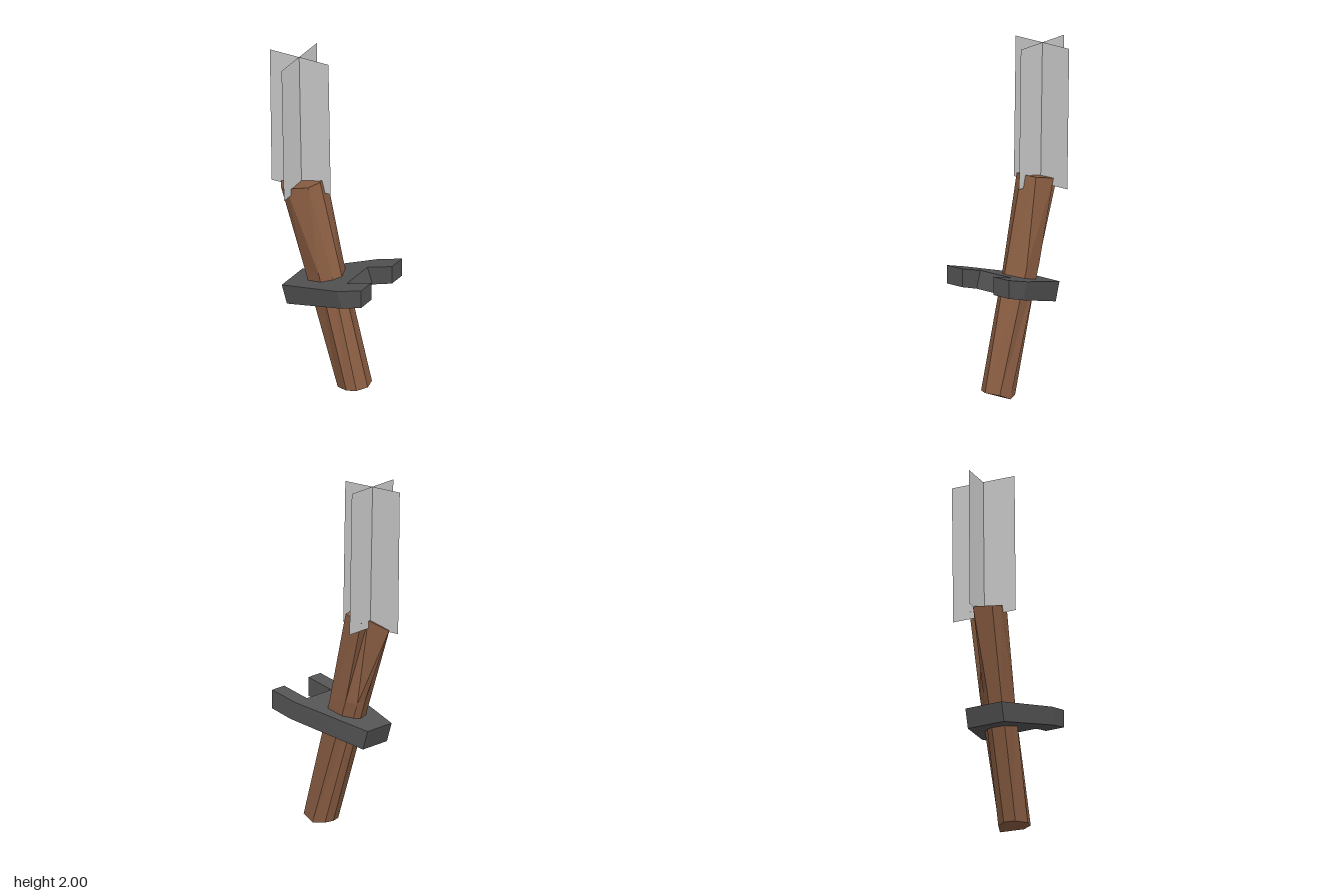
import * as THREE from 'three';

const wood = new THREE.MeshStandardMaterial({ name: 'brown wood', color: 0x8b5e43, flatShading: true });
const iron = new THREE.MeshStandardMaterial({ name: 'dark iron', color: 0x545454, flatShading: true });
const pale = new THREE.MeshStandardMaterial({ name: 'pale grey', color: 0xcccccc, side: THREE.DoubleSide });

// Flat-faced skin through rings listed bottom to top, each counterclockwise from above.
function loft(rings) {
  const tris = [];
  const n = rings[0].length;
  for (let r = 0; r < rings.length - 1; r++) {
    const lo = rings[r], up = rings[r + 1];
    for (let i = 0; i < n; i++) {
      const j = (i + 1) % n;
      tris.push(lo[i], lo[j], up[j], lo[i], up[j], up[i]);
    }
  }
  const cap = (ring, flip) => {
    const outline = ring.map(([x, , z]) => new THREE.Vector2(x, -z));
    for (const [a, b, c] of THREE.ShapeUtils.triangulateShape(outline, [])) {
      tris.push(ring[a], ring[flip ? c : b], ring[flip ? b : c]);
    }
  };
  cap(rings[0], true);
  cap(rings[rings.length - 1], false);
  const geo = new THREE.BufferGeometry();
  geo.setAttribute('position', new THREE.Float32BufferAttribute(tris.flat(), 3));
  geo.computeVertexNormals();
  return geo;
}

// Leaning, roughly hewn handle with a notch cut in the upper back
function makeHandle() {
  const bottom = [
    [0.095, 0.01, -0.02], [0.11, 0.01, 0.045], [0.19, 0.025, 0.085], [0.25, 0.035, 0.075],
    [0.288, 0.04, 0.015], [0.264, 0.036, -0.072], [0.19, 0.0, -0.088], [0.12, 0.005, -0.065],
  ];
  const middle = [
    [-0.13, 0.75, -0.02], [-0.1, 0.71, 0.055], [0.01, 0.72, 0.088], [0.08, 0.71, 0.058],
    [0.115, 0.71, 0.013], [0.06, 0.74, -0.1], [-0.05, 0.74, -0.1], [-0.1, 0.73, -0.055],
  ];
  const top = [
    [-0.3, 1.18, -0.025], [-0.245, 1.19, 0.068], [-0.19, 1.21, 0.1], [-0.065, 1.24, 0.075],
    [-0.025, 1.255, 0.01], [-0.04, 1.25, -0.085], [-0.165, 1.22, -0.11], [-0.16, 1.22, -0.035],
  ];
  const mesh = new THREE.Mesh(loft([bottom, middle, top]), wood);
  mesh.name = 'handle';
  return mesh;
}

// Sloping forked plate whose prongs end in an upright plane
function makeBracket() {
  const half = [[-0.215, 0.112], [0.21, 0.225], [0.37, 0.225], [0.37, 0.113], [0.21, 0.113]];
  const pts = [
    ...half.map(([x, z]) => new THREE.Vector2(x, z)),
    ...half.map(([x, z]) => new THREE.Vector2(x, -z)).reverse(),
  ];
  const geo = new THREE.ExtrudeGeometry(new THREE.Shape(pts), { depth: 1, bevelEnabled: false });
  geo.rotateX(-Math.PI / 2);
  const p = geo.attributes.position;
  for (let i = 0; i < p.count; i++) {
    let x = p.getX(i);
    if (p.getY(i) > 0.5) {
      p.setY(i, 0.6 + (x + 0.215) * 0.293);
    } else {
      if (x < 0.3) x += 0.033;
      p.setXY(i, x, 0.49 + (x + 0.182) * 0.315);
    }
  }
  geo.computeVertexNormals();
  const mesh = new THREE.Mesh(geo, iron);
  mesh.name = 'wallBracket';
  return mesh;
}

// Single flat panel from four corners
function makePanel(name, corners) {
  const geo = new THREE.BufferGeometry();
  geo.setAttribute('position', new THREE.Float32BufferAttribute(corners.flat(), 3));
  geo.setIndex([0, 1, 2, 0, 2, 3]);
  geo.computeVertexNormals();
  const mesh = new THREE.Mesh(geo, pale);
  mesh.name = name;
  return mesh;
}

export function createModel() {
  const model = new THREE.Group();
  model.name = 'wallTorch';
  model.add(makeHandle(), makeBracket());

  // Two crossed flame panels
  const flame = new THREE.Group();
  flame.name = 'flame';
  flame.add(
    makePanel('flamePanelWide', [
      [-0.358, 1.17, -0.018], [0.027, 1.18, -0.018], [0.012, 2.0, -0.018], [-0.37, 1.995, -0.018],
    ]),
    makePanel('flamePanelDeep', [
      [-0.163, 1.175, 0.176], [-0.163, 1.175, -0.212], [-0.179, 1.998, -0.212], [-0.179, 1.998, 0.176],
    ]),
  );
  model.add(flame);
  return model;
}
